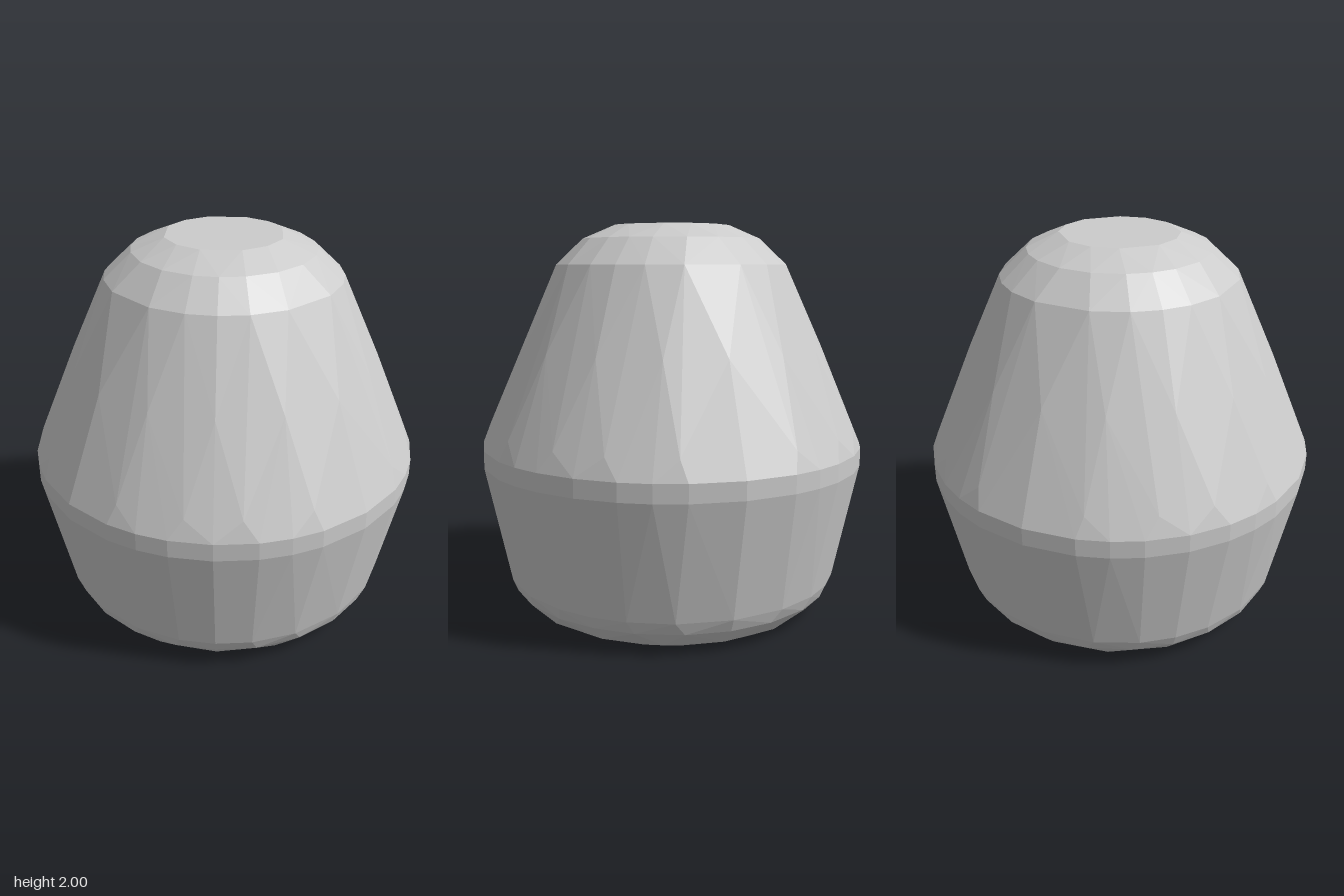
import * as THREE from 'three';
import { ConvexGeometry } from 'three/addons/geometries/ConvexGeometry.js';

// Rings of corners: [height, radius, angles in degrees within one eighth turn]
const rings = [
  [0.0, 0.70, [0, 15, 30, 45]],
  [0.03, 0.765, [0, 22, 45]],
  [0.115, 0.845, [0, 15, 31, 45]],
  [0.18, 0.873, [0, 18, 33, 45]],
  [0.78, 1.0, [0, 15, 24, 33, 45]],
  [0.87, 1.0, [0, 15, 24, 33, 45]],
  [0.97, 0.963, [17, 37]],
  [1.38, 0.788, [0, 22, 45]],
  [1.8, 0.597, [13.5, 31, 45]],
  [1.93, 0.46, [10, 30, 45]],
  [2.0, 0.3, [0, 26]],
];

// Mirror each eighth and repeat it four times round the axis
function ringPoints([y, r, angles]) {
  const points = [];
  const quadrant = new Set(angles.flatMap((a) => [a, 90 - a]));
  quadrant.delete(90);
  for (let q = 0; q < 4; q++) {
    for (const a of quadrant) {
      const t = THREE.MathUtils.degToRad(a + 90 * q);
      points.push(new THREE.Vector3(r * Math.sin(t), y, r * Math.cos(t)));
    }
  }
  return points;
}

export function createModel() {
  const group = new THREE.Group();
  group.name = 'facetedStone';

  // Single faceted convex body with flat top and base
  const body = new THREE.Mesh(
    new ConvexGeometry(rings.flatMap(ringPoints)),
    new THREE.MeshStandardMaterial({ color: 0xcccccc, flatShading: true })
  );
  body.name = 'stoneBody';
  group.add(body);
  return group;
}
